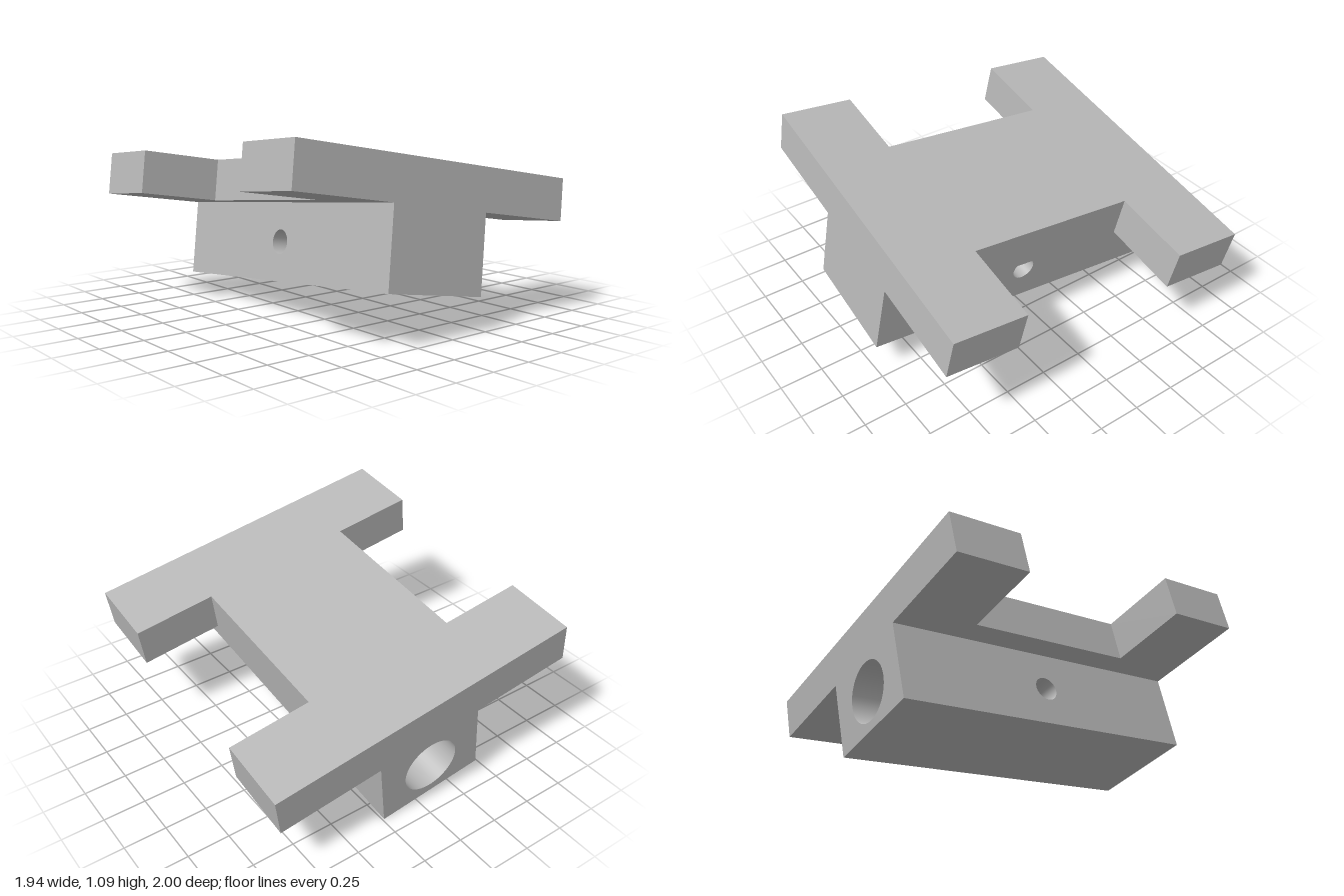
import * as THREE from 'three';

export function createModel() {
  const model = new THREE.Group();
  const grey = new THREE.MeshStandardMaterial({ color: 0xb8b8b8, side: THREE.DoubleSide });
  grey.name = 'machined grey';

  // Local sizes: plate top lies on y = 0
  const W = 1.896, L = 1.9, T = 0.245;      // plate
  const waist = 0.925, flange = 0.435;      // notches in the plate
  const bw = 0.655, bh = 0.449;             // block under the plate
  const boreR = 0.173, boreDepth = 0.22, pinR = 0.07;

  // The whole part sits tilted
  const body = new THREE.Group();
  body.name = 'tiltedBody';
  const u = new THREE.Vector3(0.986, -0.1635, 0.032).normalize();
  const w = new THREE.Vector3(-0.013, 0.1026, 0.9946);
  w.addScaledVector(u, -w.dot(u)).normalize();
  const v = new THREE.Vector3().crossVectors(w, u);
  body.quaternion.setFromRotationMatrix(new THREE.Matrix4().makeBasis(u, v, w));
  body.position.set(0.0175, 0.8325, -0.025);
  model.add(body);

  const add = (name, geometry, parent) => {
    const mesh = new THREE.Mesh(geometry, grey);
    mesh.name = name;
    parent.add(mesh);
    return mesh;
  };

  // I-shaped plate
  const a = W / 2, b = waist / 2, c = L / 2, d = L / 2 - flange;
  const outline = [
    [-a, -c], [a, -c], [a, -d], [b, -d], [b, d], [a, d],
    [a, c], [-a, c], [-a, d], [-b, d], [-b, -d], [-a, -d],
  ].map(([x, y]) => new THREE.Vector2(x, y));
  const plate = new THREE.ExtrudeGeometry(new THREE.Shape(outline), { depth: T, bevelEnabled: false });
  add('plate', plate.rotateX(Math.PI / 2), body);

  // Block faces, with an optional round hole in the middle
  const block = new THREE.Group();
  block.name = 'block';
  block.position.y = -T - bh / 2;
  body.add(block);
  const panel = (width, height, holeR) => {
    const x = width / 2, y = height / 2;
    const s = new THREE.Shape([[-x, -y], [x, -y], [x, y], [-x, y]].map((p) => new THREE.Vector2(...p)));
    if (holeR) s.holes.push(new THREE.Path().absarc(0, 0, holeR, 0, Math.PI * 2, true));
    return new THREE.ShapeGeometry(s, 24);
  };
  add('blockFront', panel(bw, bh).translate(0, 0, L / 2), block);
  add('blockBack', panel(bw, bh, boreR).rotateY(Math.PI).translate(0, 0, -L / 2), block);
  add('blockBottom', panel(bw, L).rotateX(Math.PI / 2).translate(0, -bh / 2, 0), block);
  for (const s of [-1, 1]) {
    add(s > 0 ? 'blockLeft' : 'blockRight',
      panel(L, bh, pinR).rotateY(s * Math.PI / 2).translate(s * bw / 2, 0, 0), block);
  }

  // Blind bore in the back and cross hole through the sides
  const tube = (r, len) => new THREE.CylinderGeometry(r, r, len, 48, 1, true);
  add('boreWall', tube(boreR, boreDepth).rotateX(Math.PI / 2).translate(0, 0, -L / 2 + boreDepth / 2), block);
  add('boreFloor', new THREE.CircleGeometry(boreR, 48).rotateY(Math.PI).translate(0, 0, -L / 2 + boreDepth), block);
  add('crossHoleWall', tube(pinR, bw).rotateZ(Math.PI / 2), block);

  return model;
}
